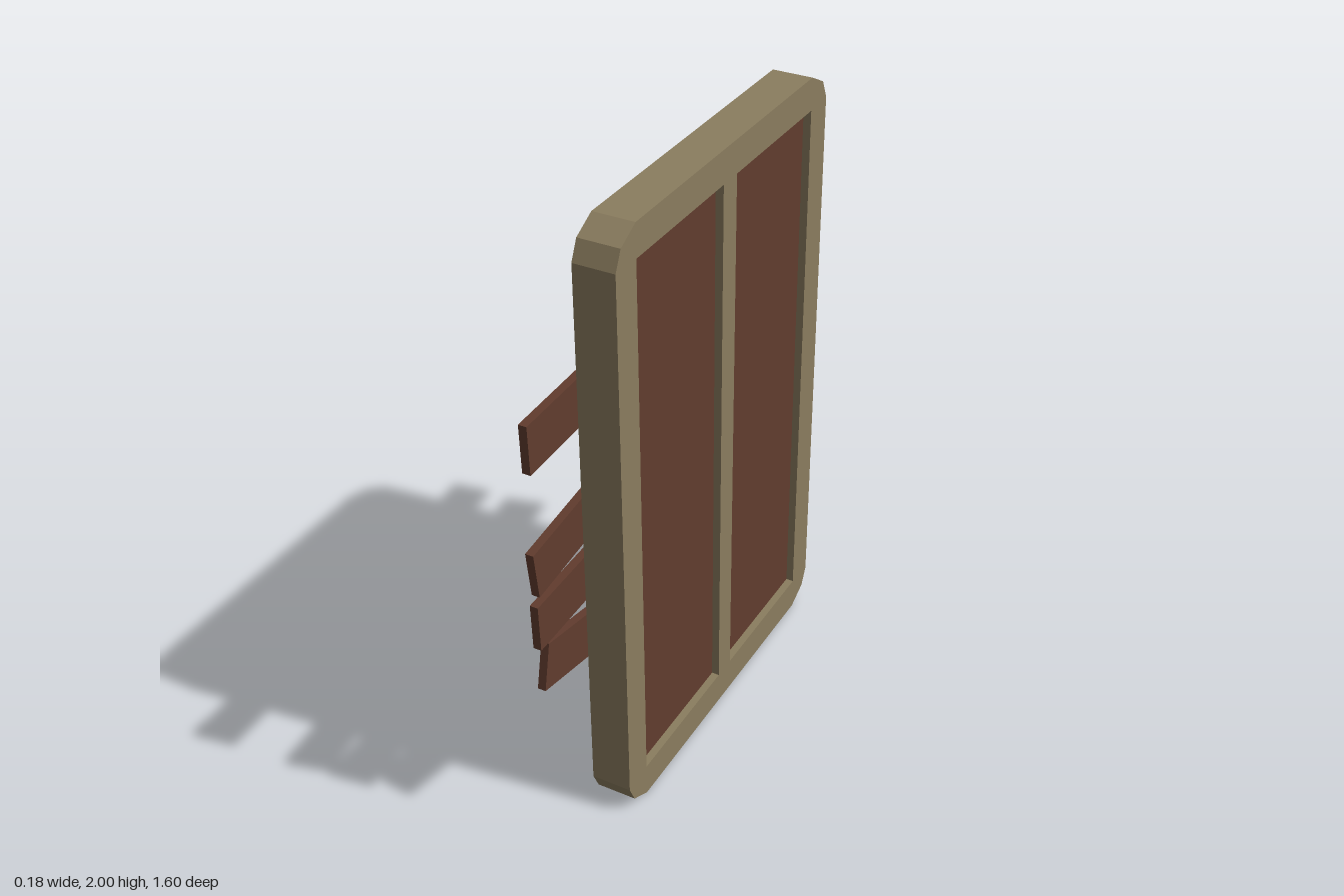
import * as THREE from 'three';

export function createModel() {
  const group = new THREE.Group();
  const frameMat = new THREE.MeshStandardMaterial({ color: 0x8b7d5f });
  frameMat.name = 'weathered tan';
  const woodMat = new THREE.MeshStandardMaterial({ color: 0x613c2e });
  woodMat.name = 'dark red wood';

  const add = (name, geometry, material, x, y, z) => {
    const mesh = new THREE.Mesh(geometry, material);
    mesh.name = name;
    mesh.position.set(x, y, z);
    group.add(mesh);
    return mesh;
  };

  // Window frame: chamfered outline with two tall openings
  const midZ = -0.045, halfW = 0.63, height = 2;
  const corner = [[halfW, 0.1], [halfW - 0.028, 0.04], [halfW - 0.105, 0]];
  const flipped = [...corner].reverse();
  const outline = [
    ...flipped,
    ...corner.map(([u, v]) => [u, height - v]),
    ...flipped.map(([u, v]) => [-u, height - v]),
    ...corner.map(([u, v]) => [-u, v]),
  ].map(([u, v]) => new THREE.Vector2(u, v));
  const shape = new THREE.Shape(outline);

  const paneIn = 0.04, paneOut = 0.525, paneLow = 0.11, paneTop = 1.895;
  for (const s of [-1, 1]) {
    shape.holes.push(new THREE.Path([
      [s * paneIn, paneLow], [s * paneIn, paneTop],
      [s * paneOut, paneTop], [s * paneOut, paneLow],
    ].map(([u, v]) => new THREE.Vector2(u, v))));
  }
  const frameGeo = new THREE.ExtrudeGeometry(shape, { depth: 0.13, bevelEnabled: false });
  frameGeo.rotateY(Math.PI / 2);
  add('windowFrame', frameGeo, frameMat, -0.04, 0, midZ);

  // Recessed panels filling the openings
  const paneGeo = new THREE.BoxGeometry(0.08, paneTop - paneLow, paneOut - paneIn);
  for (const s of [-1, 1]) {
    add(s > 0 ? 'frontPanel' : 'backPanel', paneGeo, woodMat,
      0.025, (paneTop + paneLow) / 2, midZ + s * (paneIn + paneOut) / 2);
  }

  // Boards nailed across: [z, y] centre of the back end and of the front end
  const boards = [
    [-0.787, 1.487, 0.792, 1.435],
    [-0.780, 1.212, 0.791, 1.018],
    [-0.787, 0.885, 0.792, 0.832],
    [-0.782, 0.357, 0.765, 0.672],
  ];
  boards.forEach(([z0, y0, z1, y1], i) => {
    const length = Math.hypot(z1 - z0, y1 - y0);
    const board = add('board' + (i + 1), new THREE.BoxGeometry(0.026, 0.157, length), woodMat,
      -0.078, (y0 + y1) / 2, (z0 + z1) / 2);
    board.rotation.x = -Math.atan2(y1 - y0, z1 - z0);
  });

  return group;
}
